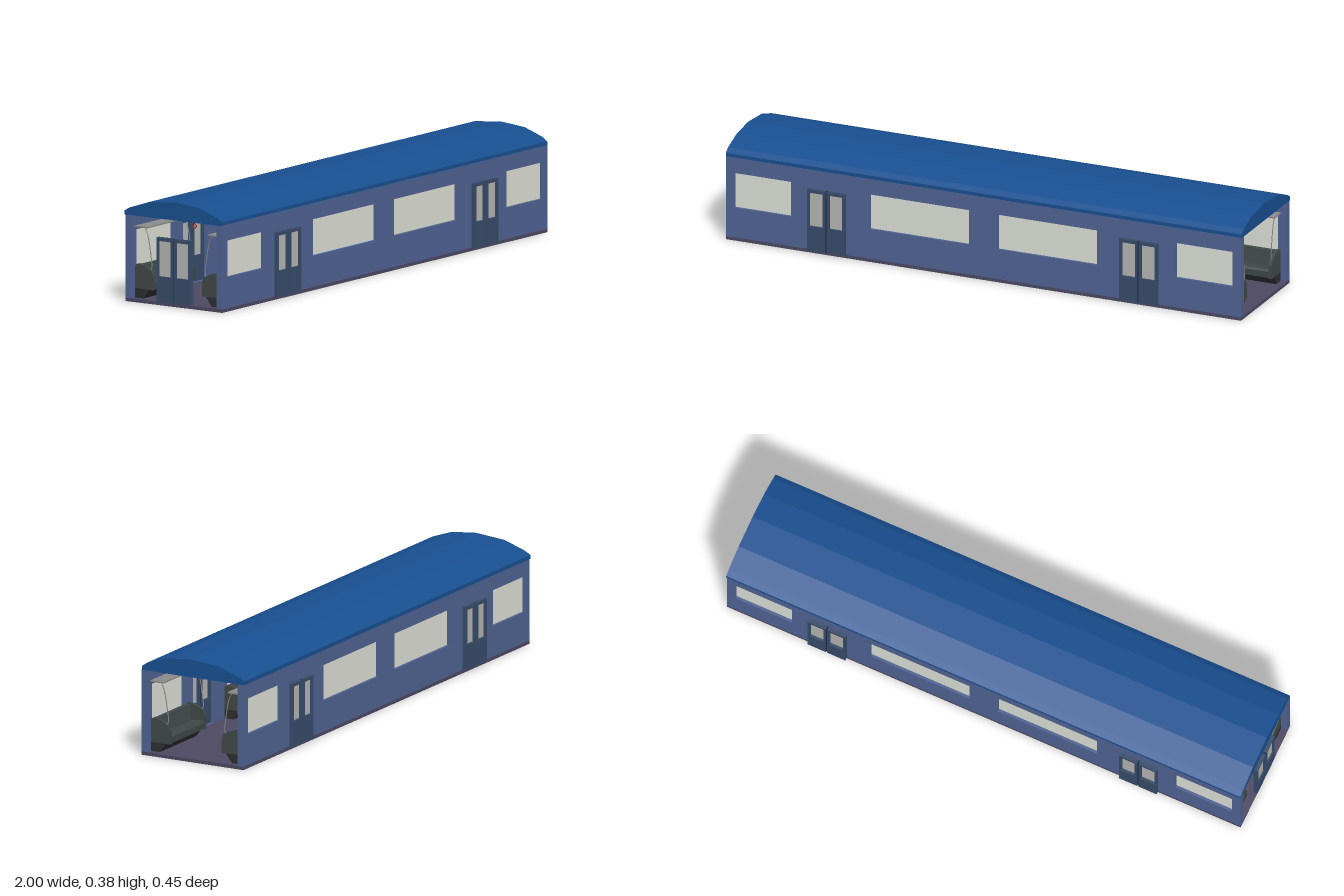
import * as THREE from 'three';

const mat = (color, extra = {}) => new THREE.MeshStandardMaterial({ color, ...extra });
const M = {
  wall: mat(0x4f6291), roof: mat(0x184f90, { flatShading: true }), door: mat(0x364b69),
  doorGlass: mat(0xb4b4b2), glass: mat(0xdcdfd5), floor: mat(0x4b4862), seat: mat(0x404848),
  base: mat(0x2c2e30), metal: mat(0x8a8a8a), pole: mat(0x1c2748), red: mat(0xa02020),
};

function add(parent, name, geometry, material, x = 0, y = 0, z = 0) {
  const mesh = new THREE.Mesh(geometry, material);
  mesh.name = name;
  mesh.position.set(x, y, z);
  parent.add(mesh);
  return mesh;
}

// Box given by its lower and upper corners
const box = (parent, name, material, [x0, y0, z0], [x1, y1, z1]) =>
  add(parent, name, new THREE.BoxGeometry(x1 - x0, y1 - y0, z1 - z0), material,
    (x0 + x1) / 2, (y0 + y1) / 2, (z0 + z1) / 2);

const rect = (Type, x0, y0, x1, y1) => new Type(
  [[x0, y0], [x1, y0], [x1, y1], [x0, y1]].map(p => new THREE.Vector2(...p)));

const extrude = (shape, depth) => new THREE.ExtrudeGeometry(shape, { depth, bevelEnabled: false });

// Cross-section of [z, y] points run along x from x0 to x1
function profileAlongX(points, x0, x1) {
  const shape = new THREE.Shape(points.map(([z, y]) => new THREE.Vector2(-z, y)));
  return extrude(shape, x1 - x0).rotateY(Math.PI / 2).translate(x0, 0, 0);
}

// Two glazed door leaves, outer face towards +z
function doorPair(depth) {
  const group = new THREE.Group();
  group.name = 'doorPair';
  for (const s of [-1, 1]) {
    const x0 = s < 0 ? -0.073 : 0.003, x1 = x0 + 0.07;
    const leaf = rect(THREE.Shape, x0, 0.012, x1, 0.243);
    leaf.holes.push(rect(THREE.Path, x0 + 0.009, 0.104, x1 - 0.009, 0.231));
    add(group, 'doorLeaf', extrude(leaf, depth), M.door);
    box(group, 'doorGlass', M.doorGlass, [x0 + 0.008, 0.103, depth * 0.35], [x1 - 0.008, 0.232, depth * 0.65]);
  }
  box(group, 'doorSeal', M.pole, [-0.003, 0.012, 0.003], [0.003, 0.243, depth - 0.004]);
  return group;
}

// Bench with end panels, luggage rack and curved rails against the +z wall
function bench(x0, x1) {
  const group = new THREE.Group();
  group.name = 'bench';
  const panel = [[0.184, 0.045], [0.105, 0.045], [0.105, 0.094], [0.113, 0.113],
    [0.138, 0.127], [0.168, 0.135], [0.178, 0.133], [0.184, 0.122]];
  const cushion = [[0.184, 0.047], [0.108, 0.047], [0.107, 0.07], [0.112, 0.077],
    [0.158, 0.072], [0.168, 0.128], [0.184, 0.128]];
  const base = [[0.184, 0.012], [0.148, 0.012], [0.122, 0.046], [0.184, 0.046]];
  add(group, 'seatCushion', profileAlongX(cushion, x0, x1), M.seat);
  add(group, 'seatBase', profileAlongX(base, x0, x1), M.base);
  box(group, 'luggageRack', M.metal, [x0, 0.265, 0.131], [x1, 0.27, 0.186]);
  const rail = new THREE.CatmullRomCurve3([[0.12, 0.112], [0.115, 0.128], [0.116, 0.145],
    [0.134, 0.245], [0.145, 0.266]].map(([z, y]) => new THREE.Vector3(0, y, z)));
  for (const x of [x0, x1 - 0.012]) {
    add(group, 'seatEndPanel', profileAlongX(panel, x, x + 0.012), M.seat);
    add(group, 'seatRail', new THREE.TubeGeometry(rail, 20, 0.0018, 8), M.metal, x + 0.006);
  }
  return group;
}

// Side wall at +z with its windows, doors and benches
function side() {
  const group = new THREE.Group();
  group.name = 'side';
  const wall = rect(THREE.Shape, -0.998, 0.012, 0.998, 0.312);
  const windows = [[-0.965, -0.745], [-0.44, -0.055], [0.055, 0.44], [0.745, 0.965]];
  for (const [a, b] of windows) {
    wall.holes.push(rect(THREE.Path, a, 0.124, b, 0.255));
    box(group, 'window', M.glass, [a, 0.124, 0.193], [b, 0.255, 0.199]);
  }
  for (const x of [-0.605, 0.605]) {
    wall.holes.push(rect(THREE.Path, x - 0.073, 0.0125, x + 0.073, 0.243));
    const doors = doorPair(0.026);
    doors.position.set(x, 0, 0.197);
    group.add(doors);
  }
  add(group, 'sideWall', extrude(wall, 0.024), M.wall, 0, 0, 0.185);
  for (const [a, b] of [[-0.975, -0.72], [-0.46, -0.01], [0.01, 0.46], [0.72, 0.975]]) group.add(bench(a, b));
  return group;
}

// Hanging strap with a ring
function strap(x, z) {
  const group = new THREE.Group();
  group.name = 'hangingStrap';
  add(group, 'strapCord', new THREE.CylinderGeometry(0.0018, 0.0018, 0.024, 8), M.base, 0, 0.3, 0);
  add(group, 'strapGrip', new THREE.CylinderGeometry(0.003, 0.003, 0.022, 8), M.red, 0, 0.277, 0);
  add(group, 'strapRing', new THREE.TorusGeometry(0.008, 0.002, 8, 20).rotateY(Math.PI / 2), M.red, 0, 0.258, 0);
  group.position.set(x, 0, z);
  return group;
}

export function createModel() {
  const model = new THREE.Group();
  model.name = 'railCarriage';

  box(model, 'floor', M.floor, [-0.998, 0, -0.209], [0.998, 0.012, 0.209]);

  // Faceted roof with a flat ceiling
  const roof = [[0.207, 0.311], [0.207, 0.325], [0.187, 0.339], [0.11, 0.366], [0.012, 0.376],
    [-0.106, 0.366], [-0.19, 0.338], [-0.213, 0.325], [-0.213, 0.311]];
  add(model, 'roof', profileAlongX(roof, -0.999, 0.999), M.roof);

  // Both sides are the same part turned half round
  const front = side(), back = side();
  back.rotation.y = Math.PI;
  model.add(front, back);

  // Gangway doors in one open end
  const endDoors = doorPair(0.016);
  endDoors.rotation.y = -Math.PI / 2;
  endDoors.position.x = -0.985;
  model.add(endDoors);

  // Grab poles and straps along the aisle
  for (const x of [-0.605, 0, 0.605])
    add(model, 'grabPole', new THREE.CylinderGeometry(0.0035, 0.0035, 0.3, 12), M.pole, x, 0.162, 0.01);
  for (let i = -5; i <= 5; i++)
    for (const z of [0.07, -0.05]) model.add(strap(i * 0.16, z));

  return model;
}
